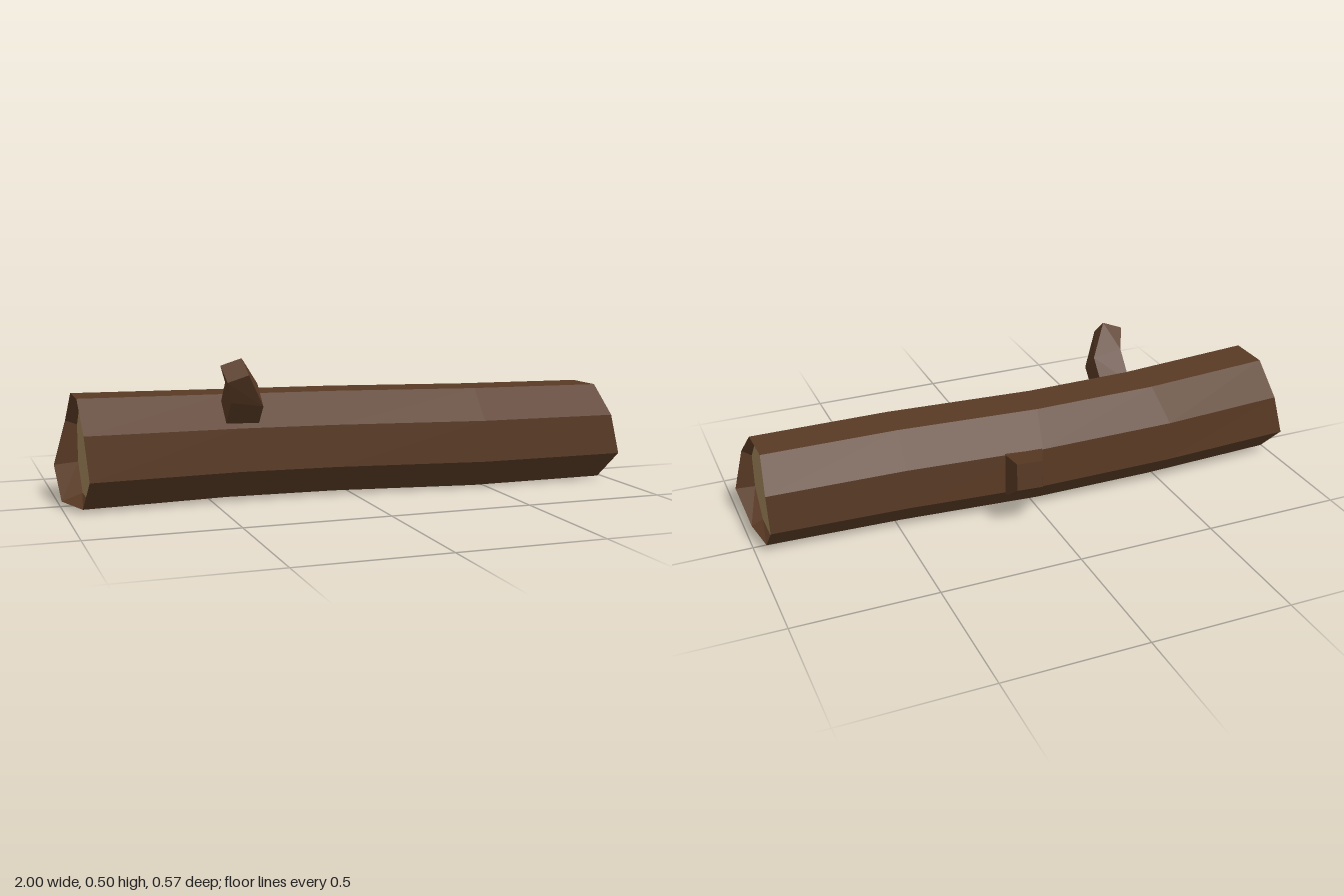
import * as THREE from 'three';

const bark = new THREE.MeshStandardMaterial({ color: 0x593a24, flatShading: true });
const wood = new THREE.MeshStandardMaterial({ color: 0xa0855a, flatShading: true });
const SIDES = 8;
const CORNER = 1 / Math.cos(Math.PI / SIDES);

// Skin a list of cross-section loops; optionally close the last one.
function loft(name, rings, closeEnd) {
  const n = rings[0].length;
  const index = [];
  for (let i = 0; i < rings.length - 1; i++) {
    for (let k = 0; k < n; k++) {
      const a = i * n + k, b = i * n + (k + 1) % n;
      index.push(a, a + n, b + n, a, b + n, b);
    }
  }
  if (closeEnd) {
    const s = (rings.length - 1) * n;
    for (let k = 1; k < n - 1; k++) index.push(s, s + k + 1, s + k);
  }
  const geometry = new THREE.BufferGeometry();
  geometry.setAttribute('position', new THREE.Float32BufferAttribute(rings.flat(2), 3));
  geometry.setIndex(index);
  const flat = geometry.toNonIndexed();
  flat.computeVertexNormals();
  const mesh = new THREE.Mesh(flat, bark);
  mesh.name = name;
  return mesh;
}

// Octagon across the log; xAt gives the x of each corner.
function octagon(y, z, apothem, xAt) {
  return Array.from({ length: SIDES }, (_, k) => {
    const a = (k + 0.5) * 2 * Math.PI / SIDES;
    const dz = Math.cos(a) * apothem * CORNER;
    return [xAt(k, dz), y + Math.sin(a) * apothem * CORNER, z + dz];
  });
}

// Four-cornered section from a centre and two half-width vectors.
function quad([x, y, z], u, v) {
  return [[1, 1], [1, -1], [-1, -1], [-1, 1]].map(([s, t]) => [
    x + s * u[0] + t * v[0], y + s * u[1] + t * v[1], z + s * u[2] + t * v[2]]);
}

function cutFace(name, x, y, z, apothem) {
  const geometry = new THREE.CircleGeometry(apothem * CORNER, SIDES, Math.PI / SIDES);
  geometry.rotateY(Math.sign(x) * Math.PI / 2);
  const mesh = new THREE.Mesh(geometry, wood);
  mesh.position.set(x, y, z);
  mesh.name = name;
  return mesh;
}

export function createModel() {
  const log = new THREE.Group();
  log.name = 'log';

  // Ragged rims: x of each corner, from front upper over the top to front lower
  const rightRim = [0.965, 0.95, 0.945, 0.96, 0.955, 0.955, 0.975, 1.0];
  const leftRim = [-0.945, -0.95, -0.95, -0.957, -1.0, -0.99, -0.94, -0.93];

  // Bent trunk with recessed ends
  log.add(loft('trunk', [
    octagon(0.195, 0.03, 0.157, () => -0.92),
    octagon(0.195, 0.03, 0.185, k => leftRim[k]),
    octagon(0.191, 0.0, 0.179, (k, dz) => -0.46 + 0.22 * dz),
    octagon(0.187, 0.003, 0.178, (k, dz) => -0.04 - 0.22 * dz),
    octagon(0.181, 0.052, 0.178, (k, dz) => 0.47 - 0.06 * dz),
    octagon(0.181, 0.064, 0.174, k => rightRim[k]),
    octagon(0.179, 0.066, 0.148, () => 0.935),
  ], false));
  log.add(cutFace('leftCutFace', 0.935, 0.179, 0.066, 0.148));
  log.add(cutFace('rightCutFace', -0.92, 0.195, 0.03, 0.157));

  // Bent branch on the upper front
  log.add(loft('frontBranch', [
    quad([-0.408, 0.29, 0.11], [0.057, 0, 0], [0, 0.034, -0.034]),
    quad([-0.408, 0.385, 0.192], [0.055, -0.008, 0], [0, 0.034, -0.036]),
    quad([-0.457, 0.47, 0.255], [0.034, 0.012, 0.008], [-0.006, 0.026, -0.024]),
  ], true));

  // Stub on the back
  log.add(loft('backStub', [
    quad([0.067, 0.185, -0.12], [-0.068, 0, 0], [0, 0.08, 0]),
    quad([0.067, 0.185, -0.172], [-0.068, 0, 0], [0, 0.077, 0.005]),
    quad([0.095, 0.232, -0.283], [-0.045, 0, -0.004], [0, 0.051, 0]),
  ], true));

  return log;
}
